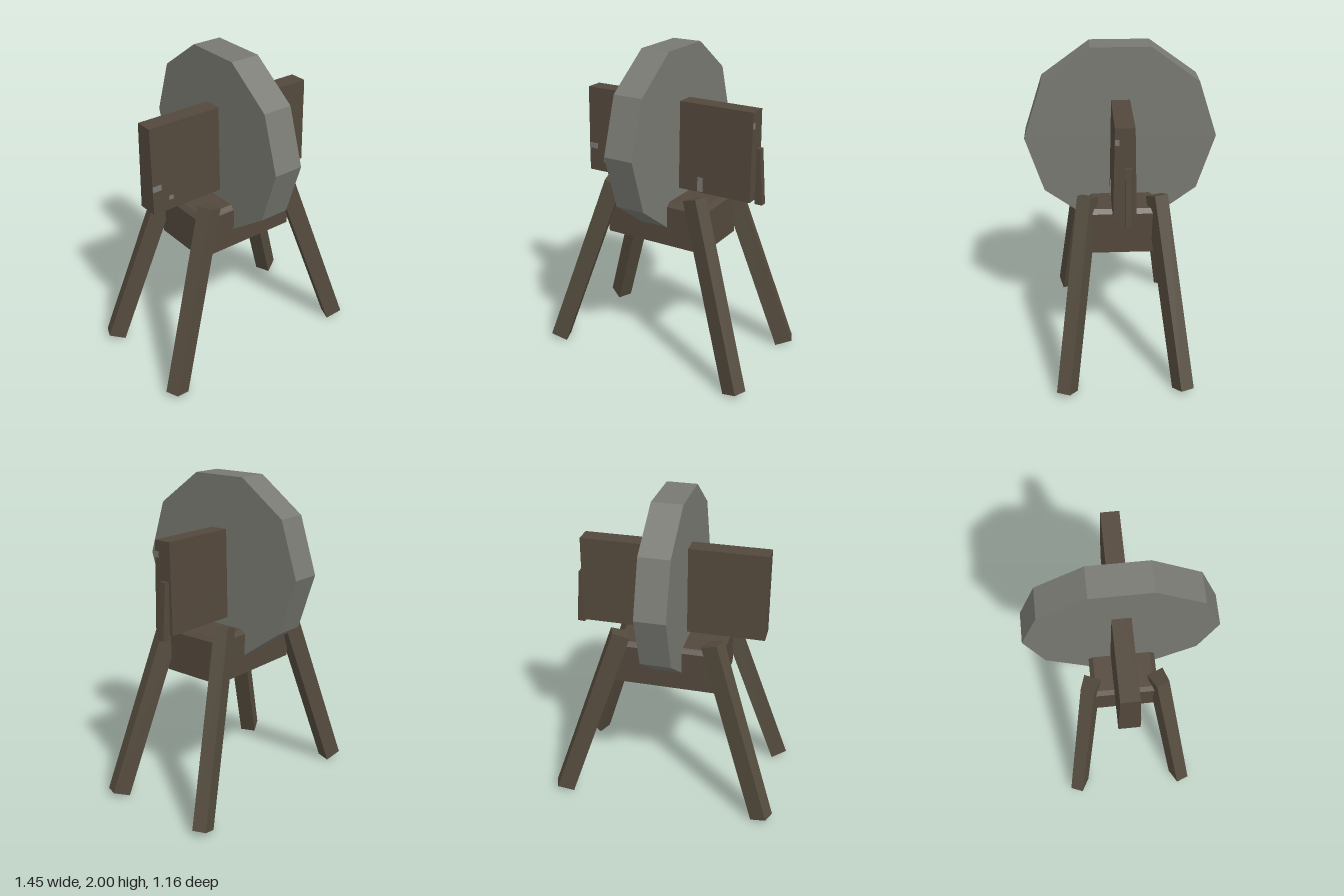
import * as THREE from 'three';

function material(name, color) {
  const m = new THREE.MeshStandardMaterial({ color });
  m.name = name;
  return m;
}

// Box whose vertices are moved by a rule
function shapedBox(w, h, d, rule) {
  const g = new THREE.BoxGeometry(w, h, d);
  const p = g.attributes.position;
  const v = new THREE.Vector3();
  for (let i = 0; i < p.count; i++) {
    v.fromBufferAttribute(p, i);
    rule(v);
    p.setXYZ(i, v.x, v.y, v.z);
  }
  g.computeVertexNormals();
  return g;
}

// Box that narrows towards the top
const taperedBox = (w, h, d, topW, topD) => shapedBox(w, h, d, v => {
  if (v.y > 0) {
    v.x *= topW / w;
    v.z *= topD / d;
  }
});

export function createModel() {
  const group = new THREE.Group();
  const wood = material('dark wood', 0x53483c);
  const legWood = material('leg wood', 0x544b3d);
  const stone = material('grey stone', 0x787972);

  const add = (name, geometry, mat, x, y, z) => {
    const mesh = new THREE.Mesh(geometry, mat);
    mesh.name = name;
    mesh.position.set(x, y, z);
    group.add(mesh);
    return mesh;
  };

  // Ten-sided grinding wheel, flat side up
  const wheel = new THREE.CylinderGeometry(0.578, 0.578, 0.188, 10).toNonIndexed();
  wheel.rotateZ(Math.PI / 2);
  wheel.computeVertexNormals();
  add('grindingWheel', wheel, stone, -0.002, 1.45, 0);

  // Axle board through the wheel
  add('axleBoard', taperedBox(1.156, 0.548, 0.134, 1.156, 0.112), wood, -0.002, 1.409, 0);

  // Base block with a chamfered top
  add('baseBlock', new THREE.BoxGeometry(0.685, 0.255, 0.41), wood, 0, 0.9275, 0);
  add('baseTop', taperedBox(0.685, 0.025, 0.41, 0.635, 0.355), wood, 0, 1.0675, 0);

  // Wedge-shaped crank handle on the left end
  const crank = shapedBox(0.05, 0.345, 0.046, v => {
    if (v.y > 0) v.x = v.x > 0 ? -0.001 : -0.025;
    if (v.x > -0.02 && v.z < 0) v.z += 0.005;
  });
  add('crankHandle', crank, wood, 0.602, 1.28, -0.022);

  // Four splayed legs, slightly narrower on the outer face
  const legGeometry = shapedBox(0.11, 1.204, 0.104, v => {
    if (v.x > 0) v.z *= 0.81;
  });
  const tilt = Math.atan2(0.401, 1.135);
  const yaw = Math.atan2(0.148, 0.373);
  for (const sx of [1, -1]) {
    for (const sz of [1, -1]) {
      const name = (sz > 0 ? 'front' : 'back') + (sx > 0 ? 'Left' : 'Right') + 'Leg';
      const leg = add(name, legGeometry, legWood, sx * 0.4765, 0.585, sz * 0.284);
      leg.rotation.order = 'YXZ';
      leg.rotation.set(0, Math.atan2(-sz * Math.sin(yaw), sx * Math.cos(yaw)), tilt);
    }
  }

  // Small worn patches on the board
  const patches = [[-0.55, 1.3, 0.06, 0.035], [-0.455, 1.212, 0.03, 0.025], [0.24, 1.185, 0.034, 0.09]];
  for (const [x, y, w, h] of patches) {
    add('wornPatch', new THREE.BoxGeometry(w, h, 0.008), stone, x, y, 0.067 - (y - 1.135) * 0.02);
  }
  add('wornPatch', new THREE.BoxGeometry(0.006, 0.034, 0.026), stone, 0.576, 1.6, 0.043);

  return group;
}
